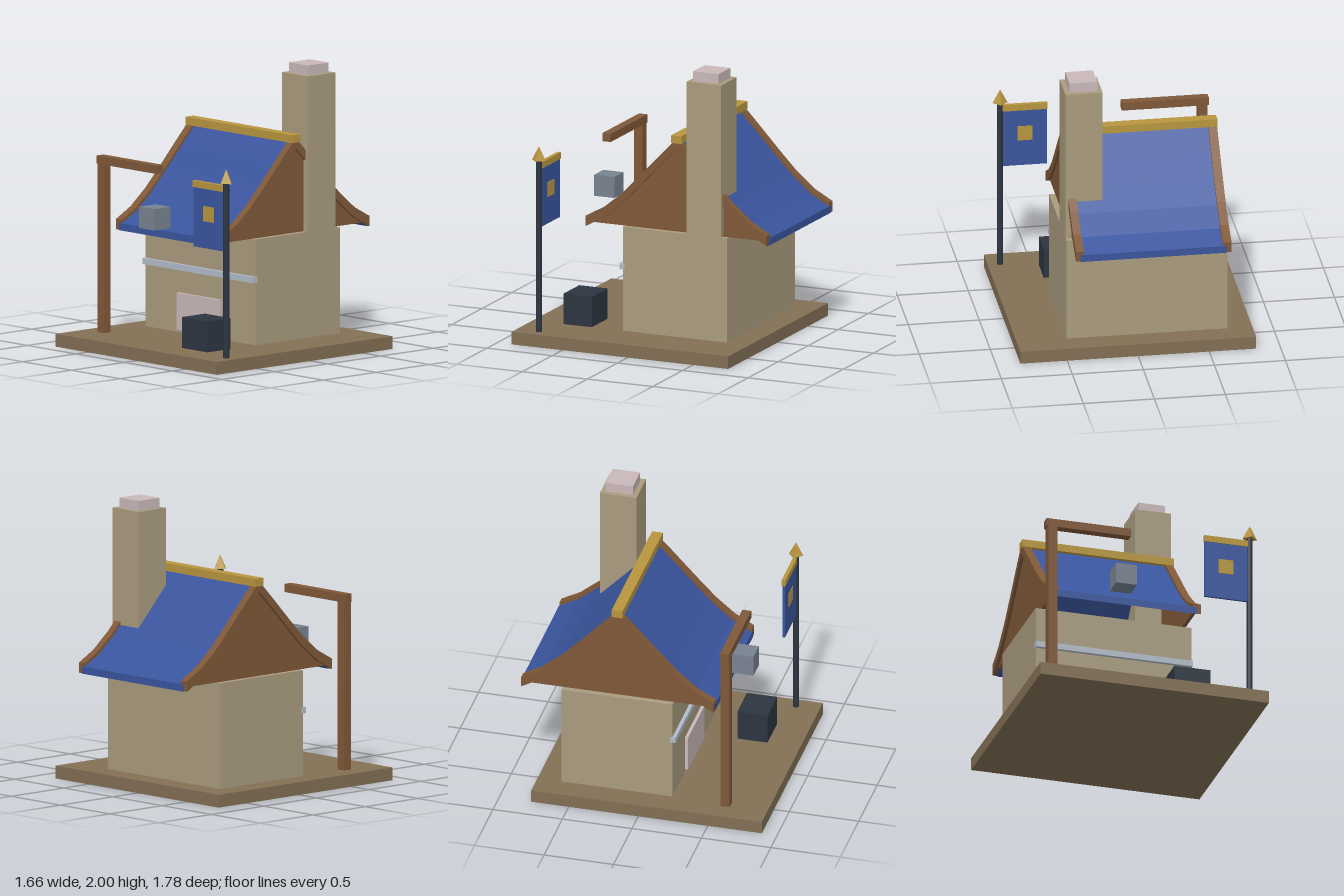
import * as THREE from 'three';

const mat = (name, color) => Object.assign(new THREE.MeshStandardMaterial({ color }), { name });

export function createModel() {
  const model = new THREE.Group();
  model.name = 'cottage';

  const ground = mat('earth', 0x826f55);
  const plaster = mat('plaster', 0xa99b7e);
  const wood = mat('wood', 0x7f5838);
  const blue = mat('blue', 0x3a559e);
  const gold = mat('gold', 0xb8963f);
  const pink = mat('pale pink', 0xc9b8b9);
  const dark = mat('dark slate', 0x2c3541);
  const steel = mat('steel', 0x778290);
  const pale = mat('pale blue grey', 0xb2bdc9);

  const add = (name, geometry, material) => {
    const mesh = new THREE.Mesh(geometry, material);
    mesh.name = name;
    model.add(mesh);
    return mesh;
  };
  // Box given by its extents on each axis
  const box = (name, material, [x0, x1], [y0, y1], [z0, z1]) => {
    const mesh = add(name, new THREE.BoxGeometry(x1 - x0, y1 - y0, z1 - z0), material);
    mesh.position.set((x0 + x1) / 2, (y0 + y1) / 2, (z0 + z1) / 2);
    return mesh;
  };

  // Plinth, walls and chimney
  box('base', ground, [-0.83, 0.83], [0, 0.09], [-0.77, 0.89]);
  box('walls', plaster, [-0.655, 0.477], [0.09, 0.835], [-0.597, 0.2]);
  box('chimney', plaster, [0.217, 0.479], [0.09, 1.93], [-0.553, -0.29]);
  box('chimneyCap', pink, [0.25, 0.445], [1.93, 2], [-0.52, -0.323]);
  box('wallBand', pale, [-0.658, 0.48], [0.53, 0.573], [0.185, 0.225]);
  box('frontPanel', pink, [-0.31, 0.13], [0.11, 0.37], [0.19, 0.222]);

  // Flared roof: half profile as [distance from ridge, height], mirrored about the ridge
  const ridgeZ = -0.2;
  const half = [[0, 1.505], [0.139, 1.36], [0.278, 1.212], [0.417, 1.07], [0.556, 0.955], [0.693, 0.88]];
  const slope = (drop, extra = 0) => [
    ...half.slice(1).reverse().map(([u, y]) => [-u - (u > 0.6 ? extra : 0), y - drop]),
    ...half.map(([u, y]) => [u + (u > 0.6 ? extra : 0), y - drop]),
  ];
  // Extrude a (z, y) outline along x between x0 and x1
  const extrudeX = (name, material, points, x0, x1) => {
    const shape = new THREE.Shape(points.map(([u, y]) => new THREE.Vector2(-u, y)));
    const geometry = new THREE.ExtrudeGeometry(shape, { depth: x1 - x0, bevelEnabled: false });
    geometry.rotateY(Math.PI / 2).translate(x0, 0, ridgeZ);
    return add(name, geometry, material);
  };
  const band = (top, bottom, extra) => [...slope(top, extra), ...slope(bottom, extra).reverse()];

  extrudeX('roof', blue, band(0.025, 0.076, 0.002), -0.605, 0.427);
  extrudeX('leftBargeboard', wood, band(0, 0.073), 0.4, 0.457);
  extrudeX('rightBargeboard', wood, band(0, 0.073), -0.638, -0.577);

  // Gable walls filling the roof ends, cut level with the wall top
  const underside = slope(0.065).slice(1, -1);
  const gable = [[-0.645, 0.835], ...underside, [0.645, 0.835]];
  extrudeX('leftGable', wood, gable, 0.41, 0.435);
  extrudeX('rightGable', wood, gable, -0.615, -0.59);
  box('ridgeCap', gold, [-0.64, 0.46], [1.472, 1.527], [-0.241, -0.163]);

  // Sign post with arm and hanging block
  box('signPost', wood, [-0.692, -0.625], [0.09, 1.3], [0.556, 0.621]);
  box('signArm', wood, [-0.702, -0.09], [1.275, 1.333], [0.554, 0.618]);
  box('hangingSign', steel, [-0.212, -0.06], [0.885, 1.036], [0.512, 0.666]);

  // Crate
  box('crate', dark, [0.215, 0.478], [0.09, 0.308], [0.437, 0.654]);

  // Banner on a pole
  const poleX = 0.742, poleZ = 0.72;
  const pole = add('bannerPole', new THREE.CylinderGeometry(0.022, 0.022, 1.235, 8).toNonIndexed(), dark);
  pole.geometry.computeVertexNormals();
  pole.position.set(poleX, 0.7075, poleZ);
  const finial = add('poleFinial', new THREE.ConeGeometry(0.053, 0.1, 4).toNonIndexed(), gold);
  finial.geometry.computeVertexNormals();
  finial.position.set(poleX, 1.37, poleZ);
  box('bannerCloth', blue, [0.413, 0.725], [0.838, 1.258], [0.71, 0.726]);
  box('bannerBar', gold, [0.41, 0.725], [1.257, 1.303], [0.703, 0.731]);
  for (const [side, z] of [['Front', 0.726], ['Back', 0.706]]) {
    box('bannerEmblem' + side, gold, [0.515, 0.622], [1.028, 1.135], [z, z + 0.004]);
  }

  return model;
}
